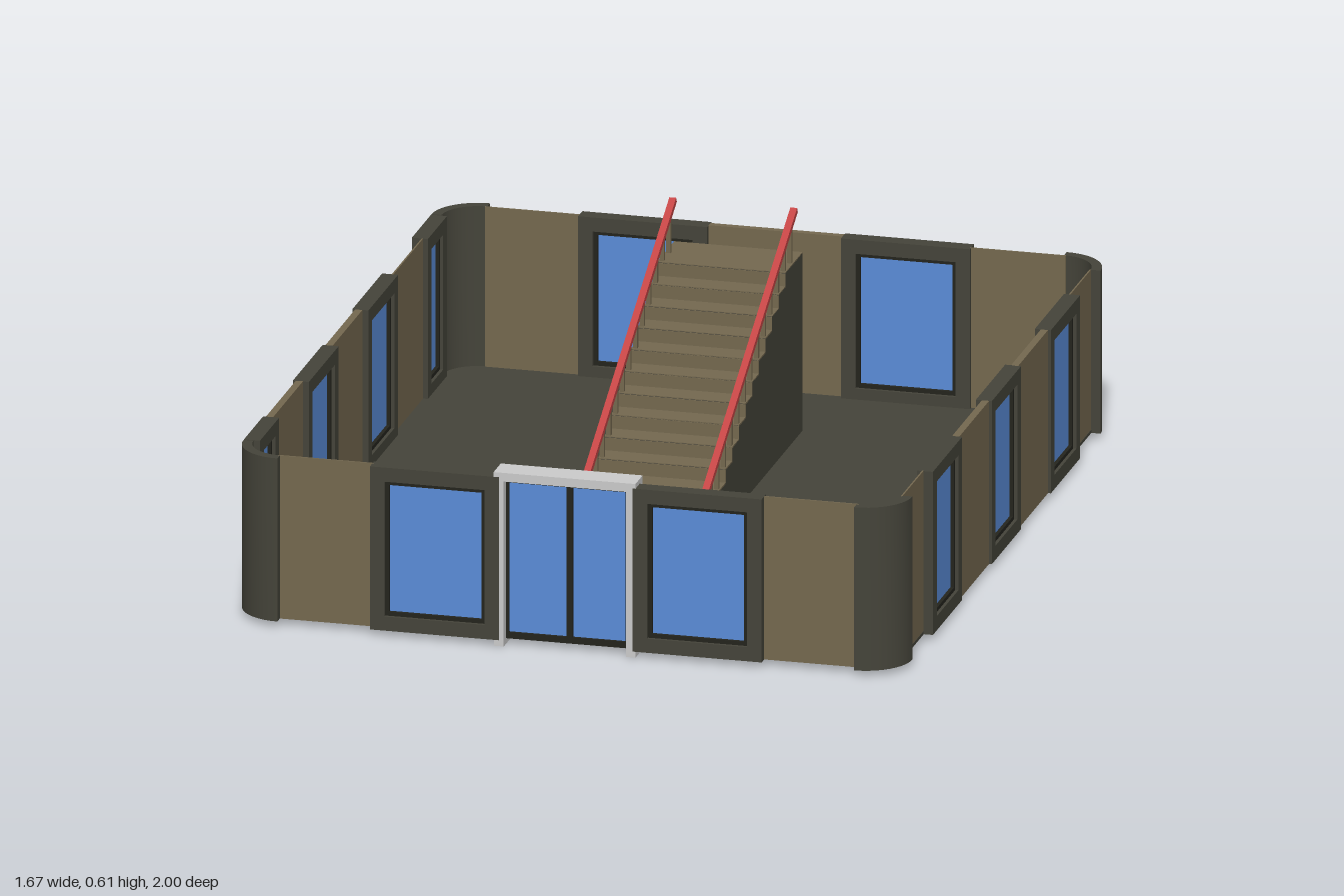
import * as THREE from 'three';
import { toCreasedNormals } from 'three/addons/utils/BufferGeometryUtils.js';

const mat = (color) => new THREE.MeshStandardMaterial({ color, side: THREE.DoubleSide });
const dark = mat(0x45443a), tan = mat(0x74684f), glass = mat(0x5a8cd8);
const red = mat(0xc44545), trim = mat(0x24241d), grey = mat(0xcccccc);
const Y0 = 0.015, Y1 = 0.43, H = Y1 - Y0, MID = (Y0 + Y1) / 2;

function add(parent, name, geometry, material, x = 0, y = 0, z = 0) {
  const mesh = new THREE.Mesh(geometry, material);
  mesh.name = name;
  mesh.position.set(x, y, z);
  parent.add(mesh);
  return mesh;
}
const box = (parent, name, m, w, h, d, x, y, z) =>
  add(parent, name, new THREE.BoxGeometry(w, h, d), m, x, y, z);

// Rectangular ring, y measured from the ground
function ring(x0, x1, y0, y1, border, depth, bottom = border) {
  const s = new THREE.Shape();
  s.moveTo(x0, y0).lineTo(x1, y0).lineTo(x1, y1).lineTo(x0, y1).closePath();
  const h = new THREE.Path(), a = x0 + border, b = x1 - border;
  h.moveTo(a, y0 + bottom).lineTo(a, y1 - border).lineTo(b, y1 - border).lineTo(b, y0 + bottom).closePath();
  s.holes.push(h);
  return new THREE.ExtrudeGeometry(s, { depth, bevelEnabled: false });
}

// Window bay: thick surround, dark inner trim and a pane; local z = 0 is the outer face
function windowBay(side, x, w) {
  const g = new THREE.Group();
  g.name = 'window';
  g.position.x = x;
  const h = w / 2;
  add(g, 'windowSurround', ring(-h, h, Y0, Y1, 0.036, 0.04), dark, 0, 0, -0.04);
  add(g, 'windowTrim', ring(-h + 0.034, h - 0.034, 0.049, 0.396, 0.012, 0.024), trim, 0, 0, -0.032);
  box(g, 'windowPane', glass, w - 0.088, 0.33, 0.006, 0, 0.2225, -0.02);
  side.add(g);
}

// One facade: windows and flush walls as [centre, width], thin recessed panels behind
function facade(root, name, angle, distance, windows, walls, recesses) {
  const g = new THREE.Group();
  g.name = name;
  g.rotation.y = angle;
  g.position.set(Math.sin(angle) * distance, 0, Math.cos(angle) * distance);
  for (const [x, w] of windows) windowBay(g, x, w);
  for (const [x, w] of walls) box(g, 'wallPanel', tan, w, H, 0.018, x, MID, -0.016);
  for (const [x, w] of recesses) box(g, 'recessedPanel', tan, w, H, 0.004, x, MID, -0.026);
  root.add(g);
  return g;
}

function buildDoor(front) {
  const g = new THREE.Group();
  g.name = 'entrance';
  for (const x of [-0.167, 0.162]) box(g, 'doorPost', grey, 0.024, 0.43, 0.065, x, 0.215, -0.033);
  box(g, 'doorLintel', grey, 0.354, 0.022, 0.068, -0.003, 0.431, -0.034);
  // Two sliding leaves
  for (const [x0, x1] of [[-0.155, 0.004], [0.004, 0.152]]) {
    add(g, 'doorLeafFrame', ring(x0, x1, Y0, 0.42, 0.008, 0.02, 0.016), trim, 0, 0, -0.04);
    box(g, 'doorGlass', glass, x1 - x0 - 0.012, 0.385, 0.006, (x0 + x1) / 2, 0.22, -0.03);
  }
  front.add(g);
}

function buildStairs(root) {
  const g = new THREE.Group();
  g.name = 'staircase';
  const x0 = -0.18, x1 = 0.14, cx = (x0 + x1) / 2, w = x1 - x0;
  const steps = 12, run = 0.0625, rise = 0.0352, start = 0.21, end = -0.7;
  // Solid stepped core, drawn in the (-z, y) plane
  const s = new THREE.Shape();
  s.moveTo(-start, 0.02);
  for (let i = 0; i <= steps; i++) {
    const y = 0.018 + rise * (i + 1), u = -start + run * i;
    s.lineTo(u, y);
    s.lineTo(i < steps ? u + run : -end, y);
  }
  s.lineTo(-end, 0.02);
  const core = new THREE.ExtrudeGeometry(s, { depth: w, bevelEnabled: false });
  core.rotateY(Math.PI / 2);
  add(g, 'stairCore', core, dark, x0, 0, 0);
  // Treads, risers and landing
  for (let i = 0; i <= steps; i++) {
    const y = 0.018 + rise * (i + 1), z = start - run * i;
    const d = i < steps ? run : z - end;
    box(g, i < steps ? 'tread' : 'landing', tan, w, 0.004, d, cx, y, z - d / 2);
    box(g, 'riser', tan, w, rise - 0.002, 0.003, cx, y - rise / 2, z);
  }
  // Sloping handrails on balusters
  const railY = (z) => 0.132 + (0.21 - z) * 0.54;
  const za = 0.215, zb = -0.655, rz = za - zb, ry = railY(zb) - railY(za);
  for (const x of [-0.171, 0.131]) {
    const rail = box(g, 'handrail', red, 0.017, 0.014, Math.hypot(rz, ry),
      x, (railY(za) + railY(zb)) / 2, (za + zb) / 2);
    rail.rotation.x = Math.atan2(ry, rz);
    for (let i = 0; i <= steps + 1; i++) {
      const z = start - 0.012 - run * i;
      const foot = 0.018 + rise * (Math.min(i, steps) + 1), top = railY(z);
      box(g, 'baluster', tan, 0.011, top - foot, 0.011, x, (foot + top) / 2, z);
    }
  }
  root.add(g);
}

export function createModel() {
  const root = new THREE.Group();
  root.name = 'buildingStorey';

  // Floor slab with rounded corners
  const fx = 0.812, fz = 0.975, r = 0.09;
  const f = new THREE.Shape();
  f.moveTo(-fx + r, -fz).lineTo(fx - r, -fz).quadraticCurveTo(fx, -fz, fx, -fz + r)
    .lineTo(fx, fz - r).quadraticCurveTo(fx, fz, fx - r, fz)
    .lineTo(-fx + r, fz).quadraticCurveTo(-fx, fz, -fx, fz - r)
    .lineTo(-fx, -fz + r).quadraticCurveTo(-fx, -fz, -fx + r, -fz);
  const floor = new THREE.ExtrudeGeometry(f, { depth: 0.008, bevelEnabled: false, curveSegments: 4 });
  floor.rotateX(-Math.PI / 2);
  add(root, 'floor', floor, dark, 0, Y0, 0);

  // Rounded corner columns
  const c = new THREE.Shape();
  c.absarc(0, 0, 0.115, 0, Math.PI / 2, false);
  c.absarc(0, 0, 0.09, Math.PI / 2, 0, true);
  let corner = new THREE.ExtrudeGeometry(c, { depth: H, bevelEnabled: false, curveSegments: 5 });
  corner.rotateX(-Math.PI / 2);
  corner = toCreasedNormals(corner, 0.6);
  [[1, -1], [-1, -1], [-1, 1], [1, 1]].forEach(([sx, sz], k) => {
    add(root, 'cornerColumn', corner, dark, sx * 0.72, Y0, sz * 0.885).rotation.y = k * Math.PI / 2;
  });

  // Four facades
  const pair = [[-0.328, 0.322], [0.328, 0.322]];
  const endRecess = [[-0.605, 0.24], [0.605, 0.24]];
  const sideRecess = [[-0.787, 0.2], [0.787, 0.2]];
  const front = facade(root, 'frontWall', 0, 1, pair, [], endRecess);
  buildDoor(front);
  facade(root, 'backWall', Math.PI, 1, pair, [[0, 0.336]], endRecess);
  facade(root, 'leftWall', Math.PI / 2, 0.835,
    [[-0.555, 0.275], [0, 0.275], [0.555, 0.275]], [[-0.278, 0.285], [0.278, 0.285]], sideRecess);
  facade(root, 'rightWall', -Math.PI / 2, 0.835,
    [[-0.79, 0.18], [-0.28, 0.28], [0.28, 0.28], [0.79, 0.18]],
    [[0, 0.285], [0.56, 0.285]], [[-0.56, 0.285]]);

  buildStairs(root);
  return root;
}
